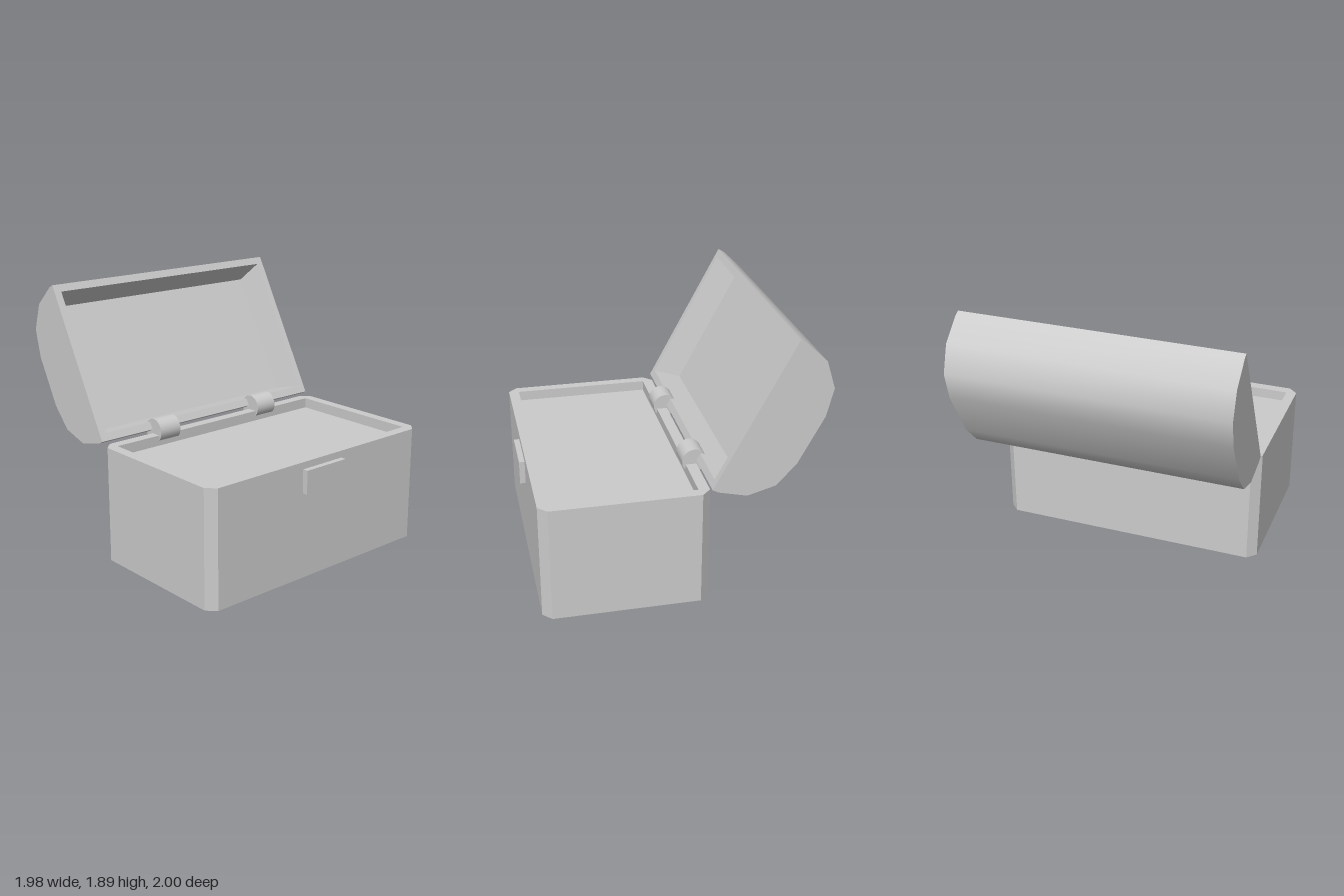
import * as THREE from 'three';

const grey = new THREE.MeshStandardMaterial({ color: 0xcccccc });
const greyThin = new THREE.MeshStandardMaterial({ color: 0xcccccc, side: THREE.DoubleSide });

function addMesh(parent, name, geometry, material = grey) {
  const mesh = new THREE.Mesh(geometry, material);
  mesh.name = name;
  parent.add(mesh);
  return mesh;
}

// Flat-faced skin through a series of rings; optionally closes a four-cornered last ring
function loft(rings, closeLast = false) {
  const n = rings[0].length;
  const index = [];
  for (let r = 0; r < rings.length - 1; r++) {
    for (let k = 0; k < n; k++) {
      const a = r * n + k, b = r * n + (k + 1) % n;
      index.push(a, b, a + n, b, b + n, a + n);
    }
  }
  if (closeLast) {
    const o = (rings.length - 1) * n;
    index.push(o, o + 1, o + 2, o, o + 2, o + 3);
  }
  const g = new THREE.BufferGeometry();
  g.setAttribute('position', new THREE.Float32BufferAttribute(rings.flat(2), 3));
  g.setIndex(index);
  const flat = g.toNonIndexed();
  flat.computeVertexNormals();
  return flat;
}

// Rectangle ring at height y
const rectRing = (x, z0, z1, y) => [[-x, y, z0], [x, y, z0], [x, y, z1], [-x, y, z1]];

// Chamfered rectangle, as [x, z] corners
function chamferedRect(w, d, c) {
  return [[-w + c, -d], [w - c, -d], [w, -d + c], [w, d - c],
    [w - c, d], [-w + c, d], [-w, d - c], [-w, -d + c]];
}

const toVectors = pts => pts.map(([x, y]) => new THREE.Vector2(x, y));

function createBody() {
  const body = new THREE.Group();
  body.name = 'body';
  body.position.z = 0.38;
  const height = 0.84, fillY = 0.765, tubY = 0.24;
  const tubX = 0.915, tubZ = 0.503;
  const outline = chamferedRect(0.99, 0.58, 0.063);

  // Thin outer walls, open underneath
  addMesh(body, 'outerWalls', loft([height, 0].map(y => outline.map(([x, z]) => [x, y, z]))), greyThin);
  // Flat rim around the opening
  const rim = new THREE.Shape(toVectors(outline));
  rim.holes.push(new THREE.Path(toVectors([[-tubX, -tubZ], [-tubX, tubZ], [tubX, tubZ], [tubX, -tubZ]])));
  addMesh(body, 'rim', new THREE.ShapeGeometry(rim).rotateX(-Math.PI / 2).translate(0, height, 0), greyThin);
  // Inner tub hanging from the rim
  addMesh(body, 'innerTub', loft([height, tubY].map(y => rectRing(tubX, -tubZ, tubZ, y)), true), greyThin);
  // Level surface filling the tub
  addMesh(body, 'filling', new THREE.PlaneGeometry(2 * tubX, 2 * tubZ).rotateX(-Math.PI / 2))
    .position.y = fillY;
  // Latch plate
  addMesh(body, 'latch', new THREE.BoxGeometry(0.365, 0.17, 0.04)).position.set(0, 0.705, 0.6);
  return body;
}

function createLid() {
  const lid = new THREE.Group();
  lid.name = 'lid';
  const w = 0.99, depth = 1.16;
  // Arched section as [z, y], mirrored about the middle of the depth
  const half = [[0, 0], [0, 0.045], [0.053, 0.244], [0.195, 0.391], [0.391, 0.443]];
  const section = [...half, ...half.map(([z, y]) => [depth - z, y]).reverse()];

  // Smooth arched top
  const pos = [], index = [];
  section.forEach(([z, y], i) => {
    pos.push(-w, y, z, w, y, z);
    if (i < section.length - 1) {
      const a = 2 * i;
      index.push(a, a + 2, a + 1, a + 1, a + 2, a + 3);
    }
  });
  const arch = new THREE.BufferGeometry();
  arch.setAttribute('position', new THREE.Float32BufferAttribute(pos, 3));
  arch.setIndex(index);
  arch.computeVertexNormals();
  addMesh(lid, 'lidArch', arch, greyThin);

  // Flat ends
  for (const s of [-1, 1]) {
    const shape = new THREE.Shape(toVectors(section.map(([z, y]) => [-s * z, y])));
    const end = new THREE.ShapeGeometry(shape).rotateY(s * Math.PI / 2).translate(s * w, 0, 0);
    addMesh(lid, s > 0 ? 'leftLidEnd' : 'rightLidEnd', end, greyThin);
  }

  // Rim, tapering inner walls and inner panel
  addMesh(lid, 'lidLining', loft([
    rectRing(w, 0, depth, 0),
    rectRing(0.935, 0.055, depth - 0.055, 0),
    rectRing(0.88, 0.11, depth - 0.11, 0.19),
  ], true), greyThin);

  // Swung open about the back edge
  lid.position.set(0, 0.867, -0.2);
  lid.rotation.x = -2.066;
  return lid;
}

export function createModel() {
  const model = new THREE.Group();
  model.name = 'chest';
  model.add(createBody(), createLid());

  // Hinge barrels
  for (const s of [-1, 1]) {
    const g = new THREE.CylinderGeometry(0.087, 0.087, 0.175, 24).rotateZ(Math.PI / 2);
    addMesh(model, s > 0 ? 'leftHinge' : 'rightHinge', g).position.set(s * 0.465, 0.863, -0.185);
  }
  return model;
}
